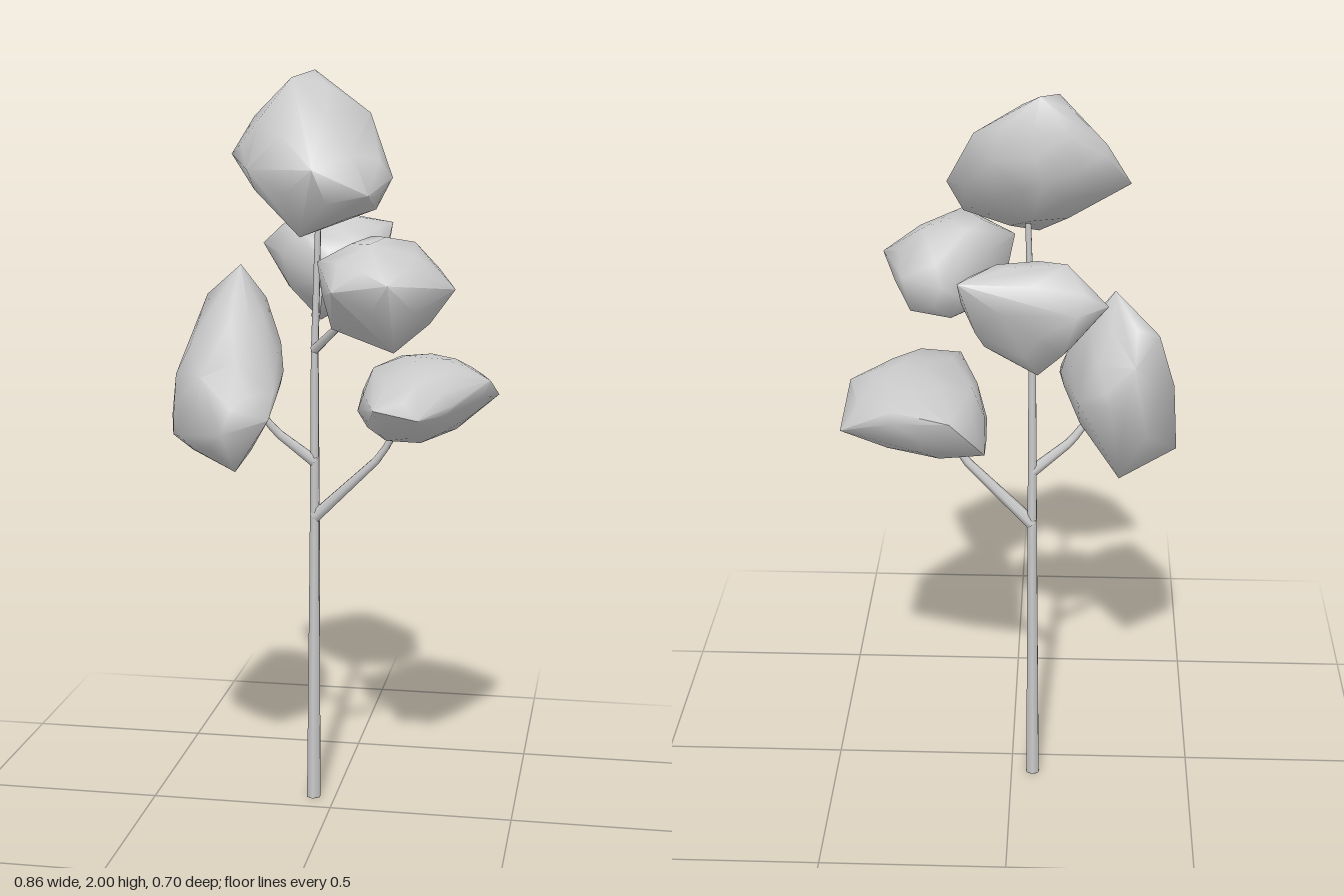
import * as THREE from 'three';
import { ConvexGeometry } from 'three/addons/geometries/ConvexGeometry.js';
import { mergeVertices, toCreasedNormals } from 'three/addons/utils/BufferGeometryUtils.js';

const material = new THREE.MeshStandardMaterial({ color: 0xcccccc, side: THREE.DoubleSide });
const SIDES = 6;

const toVectors = (corners) => corners.map((c) => new THREE.Vector3(...c));

// Limb of straight stretches along a path, tapering from r0 to r1
function limb(name, path, r0, r1) {
  const points = toVectors(path);
  const curve = new THREE.CurvePath();
  for (let i = 1; i < points.length; i++) curve.add(new THREE.LineCurve3(points[i - 1], points[i]));
  const steps = 8;
  const geometry = new THREE.TubeGeometry(curve, steps, 1, SIDES);
  const pos = geometry.attributes.position;
  const v = new THREE.Vector3();
  for (let i = 0; i < pos.count; i++) {
    const t = Math.floor(i / (SIDES + 1)) / steps;
    const centre = curve.getPointAt(t);
    v.fromBufferAttribute(pos, i).sub(centre).multiplyScalar(THREE.MathUtils.lerp(r0, r1, t)).add(centre);
    pos.setXYZ(i, v.x, v.y, v.z);
  }
  const mesh = new THREE.Mesh(geometry, material);
  mesh.name = name;
  return mesh;
}

// Chunky leaf clump: hull around a few corners, each face swollen a little, softly shaded
function clump(name, corners) {
  const points = toVectors(corners);
  const pos = new ConvexGeometry(points).attributes.position;
  const swollen = [...points];
  for (let i = 0; i < pos.count; i += 3) {
    const face = new THREE.Triangle().setFromAttributeAndIndices(pos, i, i + 1, i + 2);
    const normal = face.getNormal(new THREE.Vector3());
    swollen.push(face.getMidpoint(new THREE.Vector3()).addScaledVector(normal, 0.09 * Math.sqrt(face.getArea())));
  }
  const hull = new ConvexGeometry(swollen);
  hull.deleteAttribute('normal');
  const geometry = toCreasedNormals(mergeVertices(hull, 1e-4), 1.3);
  const mesh = new THREE.Mesh(geometry, material);
  mesh.name = name;
  return mesh;
}

export function createModel() {
  const tree = new THREE.Group();
  tree.name = 'tree';

  // Trunk and its closed base
  tree.add(limb('trunk', [[-0.06, 0, -0.075], [-0.055, 0.8, -0.073], [-0.053, 1.25, -0.063], [-0.04, 1.68, -0.058]], 0.02, 0.008));
  const base = new THREE.Mesh(new THREE.CircleGeometry(0.02, SIDES), material);
  base.name = 'trunkBase';
  base.rotation.x = Math.PI / 2;
  base.position.set(-0.06, 0.001, -0.075);
  tree.add(base);

  // Branches
  tree.add(
    limb('lowerLeftBranch', [[-0.055, 0.81, -0.073], [0.13, 0.99, -0.045], [0.19, 1.1, -0.03]], 0.018, 0.008),
    limb('lowerRightBranch', [[-0.055, 0.965, -0.068], [-0.155, 1.045, -0.05], [-0.22, 1.13, -0.03]], 0.016, 0.008),
    limb('frontBranch', [[-0.053, 1.27, -0.063], [0.04, 1.36, 0.02], [0.12, 1.43, 0.1]], 0.014, 0.007),
    limb('backBranch', [[-0.05, 1.36, -0.062], [-0.05, 1.42, -0.12], [-0.05, 1.47, -0.19]], 0.012, 0.006),
  );

  // Leaf clumps
  tree.add(
    clump('topFoliage', [
      [-0.29, 1.78, -0.135], [-0.23, 1.88, -0.15], [-0.14, 1.92, -0.205], [-0.115, 1.98, -0.075],
      [-0.07, 2, -0.17], [0.04, 1.85, -0.18], [0.09, 1.89, -0.1], [0.165, 1.73, 0.015],
      [0.125, 1.65, 0.03], [0.12, 1.69, 0.135], [-0.015, 1.755, 0.185], [-0.2, 1.75, 0.09],
      [-0.065, 1.58, 0.08], [-0.05, 1.675, -0.115], [-0.08, 1.8, -0.2],
    ]),
    clump('rightFoliage', [
      [-0.26, 1.49, -0.1], [-0.37, 1.4, -0.17], [-0.31, 1.34, -0.235], [-0.25, 1.23, -0.235],
      [-0.195, 1.4, -0.12], [-0.41, 1.21, 0.03], [-0.43, 1.03, -0.05], [-0.415, 1.05, 0.05],
      [-0.38, 1.06, 0.12], [-0.3, 1.23, 0.205], [-0.24, 1.09, 0.245], [-0.125, 1.18, 0.14],
      [-0.13, 1.12, 0.18], [-0.22, 0.98, 0.17], [-0.28, 0.98, -0.13], [-0.125, 1.22, 0],
      [-0.17, 1.22, -0.18], [-0.25, 1.36, 0.07],
    ]),
    clump('leftFoliage', [
      [0.145, 1.22, -0.32], [0.29, 1.225, -0.265], [0.43, 1.14, -0.2], [0.42, 1.205, -0.03],
      [0.36, 1.23, -0.09], [0.295, 1.255, -0.05], [0.27, 1.245, 0.03], [0.1, 1.22, -0.1],
      [0.06, 1.115, -0.275], [0.065, 1.11, -0.05], [0.08, 1.06, -0.11], [0.18, 1.06, -0.19],
      [0.245, 1.045, 0.03], [0.325, 1.06, -0.1], [0.25, 1.22, 0.14], [0.32, 1.14, 0.14],
      [0.26, 1.14, 0.23], [0.15, 1.165, 0.245], [0.17, 1.07, 0.14],
    ]),
    clump('backFoliage', [
      [-0.24, 1.53, -0.3], [-0.165, 1.52, -0.35], [0, 1.55, -0.33], [0.12, 1.59, -0.322],
      [0.12, 1.53, -0.2], [-0.14, 1.62, -0.26], [0.03, 1.61, -0.24], [-0.1, 1.57, -0.14],
      [0.04, 1.55, -0.15], [-0.07, 1.325, -0.25], [-0.02, 1.45, -0.09], [0.06, 1.4, -0.25],
      [0.08, 1.45, -0.285], [-0.14, 1.42, -0.18], [-0.13, 1.4, -0.3],
    ]),
    clump('frontFoliage', [
      [0, 1.53, 0.19], [0.12, 1.585, 0.06], [0.14, 1.58, 0.25], [0.235, 1.575, 0.1],
      [0.35, 1.47, 0.21], [0.285, 1.47, 0.02], [0.18, 1.46, -0.03], [0.12, 1.42, 0],
      [0.2, 1.49, 0.35], [0.06, 1.47, 0.34], [0.2, 1.31, 0.23], [0.16, 1.36, 0.02],
      [0.035, 1.36, 0.18], [0.265, 1.375, 0.03],
    ]),
  );
  return tree;
}
